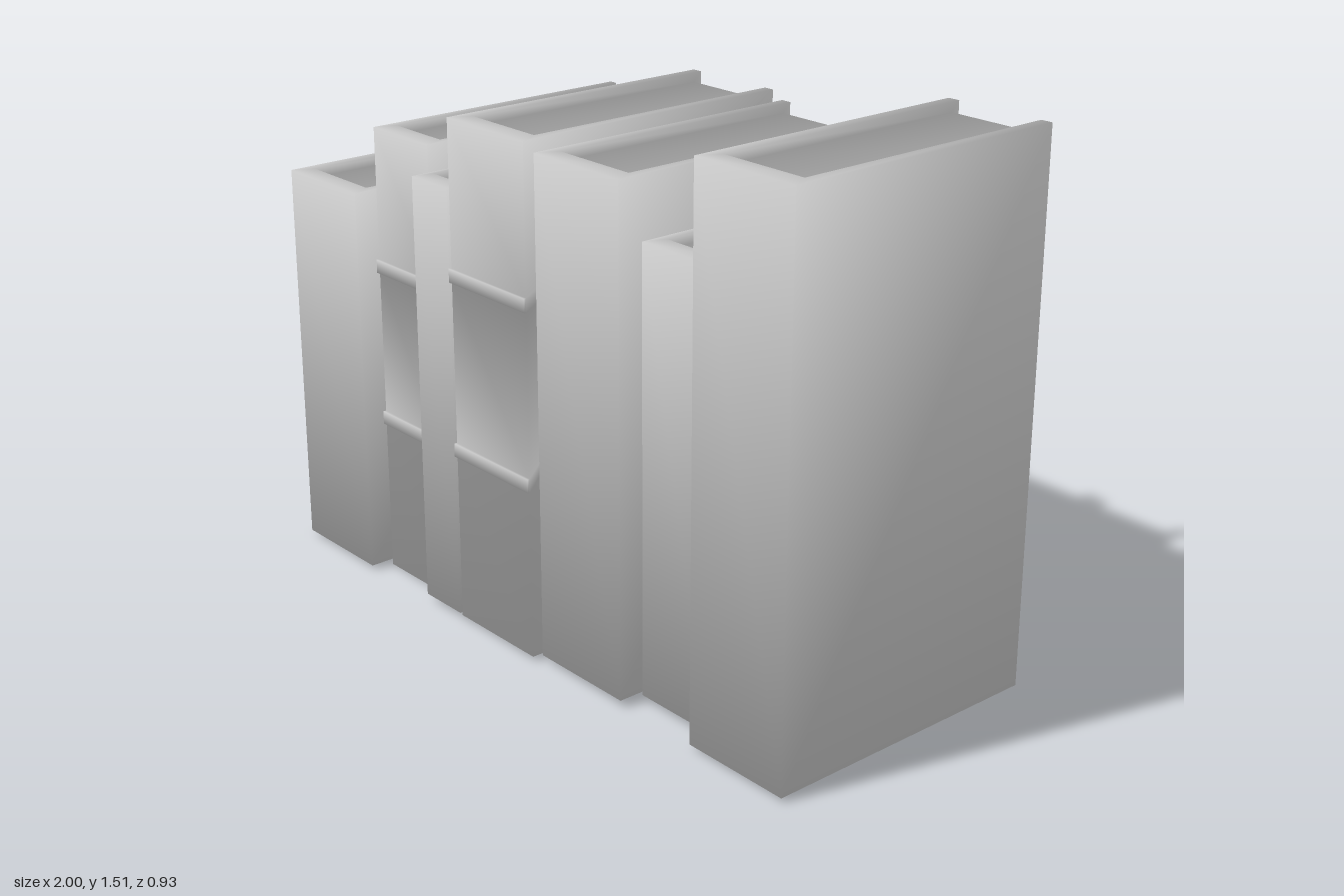
import * as THREE from 'three';
import { mergeVertices } from 'three/addons/utils/BufferGeometryUtils.js';

const material = new THREE.MeshStandardMaterial({ color: 0xcccccc });
const SPINE = 0.058;      // spine thickness
const INSET = 0.026;      // how far the pages sit inside the cover
const BAND_HALF = 0.019;  // half height of a raised spine band
const BAND_DEPTH = 0.008; // how far a band stands out

// x0, x1: sides; y0, y1: bottom and top; z0, z1: fore-edge and spine
// board: cover thickness; bands: heights of raised spine bands, top first
const BOOKS = [
  { x0: -1.0, x1: -0.676, y0: 0.012, y1: 1.13, z0: -0.375, z1: 0.465, board: 0.032 },
  { x0: -0.668, x1: -0.417, y0: 0.0, y1: 1.308, z0: -0.435, z1: 0.4, board: 0.024, bands: [0.913, 0.462] },
  { x0: -0.41, x1: -0.254, y0: 0.02, y1: 1.235, z0: -0.385, z1: 0.457, board: 0.014 },
  { x0: -0.252, x1: 0.066, y0: 0.012, y1: 1.422, z0: -0.39, z1: 0.451, board: 0.031, bands: [1.0, 0.508] },
  { x0: 0.087, x1: 0.409, y0: 0.02, y1: 1.395, z0: -0.405, z1: 0.435, board: 0.031 },
  { x0: 0.422, x1: 0.668, y0: 0.02, y1: 1.235, z0: -0.465, z1: 0.373, board: 0.023 },
  { x0: 0.674, x1: 1.0, y0: 0.012, y1: 1.508, z0: -0.405, z1: 0.436, board: 0.034 },
];

// Smooth normals, each face weighted by its angle at the corner
function smoothByAngle(geometry) {
  const position = geometry.attributes.position, index = geometry.index;
  const sums = Array.from({ length: position.count }, () => new THREE.Vector3());
  const point = (i) => new THREE.Vector3().fromBufferAttribute(position, i);
  for (let t = 0; t < index.count; t += 3) {
    for (let k = 0; k < 3; k++) {
      const [i, j, l] = [0, 1, 2].map((n) => index.getX(t + (k + n) % 3));
      const u = point(j).sub(point(i)), v = point(l).sub(point(i));
      const angle = u.angleTo(v);
      sums[i].addScaledVector(u.cross(v).normalize(), angle);
    }
  }
  const normals = sums.flatMap((n) => n.normalize().toArray());
  geometry.setAttribute('normal', new THREE.Float32BufferAttribute(normals, 3));
  return geometry;
}

// One closed skin: cover, spine and the page block recessed on three sides
function bookGeometry({ x0, x1, y0, y1, z0, z1, board, bands = [] }) {
  const w = (x1 - x0) / 2, h = (y1 - y0) / 2, cy = (y0 + y1) / 2;
  const wi = w - board, hp = h - INSET;      // inside width, page height
  const zs = z1 - SPINE, zp = z0 + INSET;    // inside of spine, page edge
  const wb = w + 0.002, zb = z1 + BAND_DEPTH;
  const vertices = [];

  // Adds a flat face as a fan, mirrored in x by sx and in y by sy
  const face = (points, sx = 1, sy = 1) => {
    const p = points.map(([x, y, z]) => [x * sx, y * sy, z]);
    for (let i = 1; i < p.length - 1; i++) {
      const [b, c] = sx * sy > 0 ? [p[i], p[i + 1]] : [p[i + 1], p[i]];
      vertices.push(...p[0], ...b, ...c);
    }
  };

  // Heights along the spine: plain and band stretches alternate
  const levels = [h, ...bands.flatMap((b) => [b - cy + BAND_HALF, b - cy - BAND_HALF]), -h];

  for (const t of [1, -1]) {
    face([[-w, h, z1], [w, h, z1], [wi, h, zs], [-wi, h, zs]], 1, t);          // spine end
    face([[-wi, h, zs], [wi, h, zs], [wi, hp, zs], [-wi, hp, zs]], 1, t);      // inside of spine
    face([[-wi, hp, zs], [wi, hp, zs], [wi, hp, zp], [-wi, hp, zp]], 1, t);    // page end
    for (const s of [1, -1]) {
      face([[w, h, z1], [w, h, z0], [wi, h, z0], [wi, h, zs]], s, t);          // board end
      face([[wi, h, zs], [wi, h, z0], [wi, hp, zp], [wi, hp, zs]], s, t);      // inside of board
    }
  }
  for (const s of [1, -1]) {
    face([[w, h, z0], ...levels.map((y) => [w, y, z1]), [w, -h, z0]], s);      // board
    face([[w, h, z0], [w, -h, z0], [wi, -h, z0], [wi, h, z0]], s);             // board edge
    face([[wi, h, z0], [wi, -h, z0], [wi, -hp, zp], [wi, hp, zp]], s);         // inside of board
  }
  face([[wi, hp, zp], [wi, -hp, zp], [-wi, -hp, zp], [-wi, hp, zp]]);          // page fore-edge

  // Spine front with its raised bands
  for (let i = 0; i < levels.length - 1; i++) {
    const top = levels[i], low = levels[i + 1];
    if (i % 2 === 0) {
      face([[-w, top, z1], [-w, low, z1], [w, low, z1], [w, top, z1]]);
      continue;
    }
    face([[-wb, top, zb], [-wb, low, zb], [wb, low, zb], [wb, top, zb]]);
    face([[-wb, top, zb], [wb, top, zb], [w, top, z1], [-w, top, z1]]);
    face([[-w, low, z1], [w, low, z1], [wb, low, zb], [-wb, low, zb]]);
    for (const s of [1, -1]) {
      face([[w, top, z1], [wb, top, zb], [wb, low, zb], [w, low, z1]], s);
    }
  }

  const geometry = new THREE.BufferGeometry();
  geometry.setAttribute('position', new THREE.Float32BufferAttribute(vertices, 3));
  return smoothByAngle(mergeVertices(geometry)).translate((x0 + x1) / 2, cy, 0);
}

export function createModel() {
  const model = new THREE.Group();
  model.name = 'bookRow';
  for (const book of BOOKS) {
    const mesh = new THREE.Mesh(bookGeometry(book), material);
    mesh.name = 'book';
    model.add(mesh);
  }
  return model;
}
